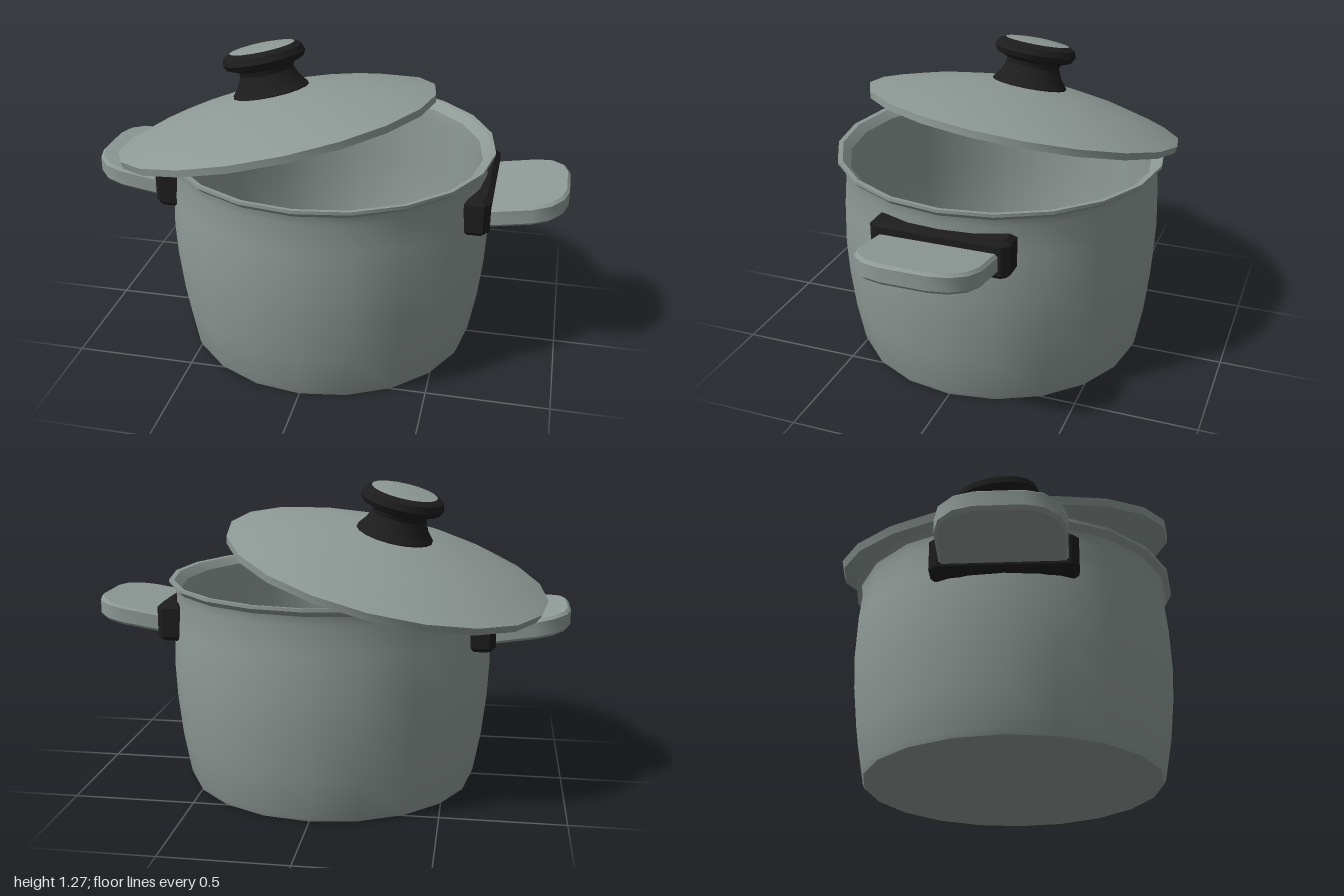
import * as THREE from 'three';
import { toCreasedNormals } from 'three/addons/utils/BufferGeometryUtils.js';

const SIDES = 20;
const steel = new THREE.MeshStandardMaterial({ color: 0x8f9a96 });
steel.name = 'brushed steel';
const black = new THREE.MeshStandardMaterial({ color: 0x1d1d1d });
black.name = 'black plastic';

function part(name, geometry, material, crease = 0.6) {
  const mesh = new THREE.Mesh(toCreasedNormals(geometry, crease), material);
  mesh.name = name;
  return mesh;
}

// Turned part from [radius, height] pairs, counterclockwise around the solid
function turned(name, profile, material, sides = SIDES) {
  const points = profile.map(([r, y]) => new THREE.Vector2(r, y));
  return part(name, new THREE.LatheGeometry(points, sides), material);
}

// Plan outline extruded upwards, resting on y with the given height and bevel
function slab(shape, y, height, bevel) {
  const g = new THREE.ExtrudeGeometry(shape, {
    depth: height - 2 * bevel, bevelEnabled: true, bevelSegments: 1,
    bevelSize: bevel, bevelThickness: bevel, bevelOffset: -bevel, curveSegments: 6,
  });
  g.rotateX(-Math.PI / 2);
  g.translate(0, y + bevel, 0);
  return g;
}

// Half outline mirrored over the x axis
function mirrored(half) {
  const other = half.filter(([, z]) => z !== 0).map(([x, z]) => [x, -z]).reverse();
  return [...half, ...other].map(([x, z]) => new THREE.Vector2(x, z));
}

function createHandle(name) {
  const group = new THREE.Group();
  group.name = name;

  // Mount hugging the curved wall
  const mount = new THREE.Shape(mirrored([
    [0.652, 0], [0.64, -0.13], [0.595, -0.25], [0.595, -0.285],
    [0.675, -0.285], [0.7, -0.255],
  ]));
  group.add(part('handleMount', slab(mount, 0.62, 0.16, 0.02), black));

  // Loop grip, rising towards its outer end
  const grip = new THREE.Shape(mirrored([
    [0.68, -0.245], [0.86, -0.245], [0.93, -0.222], [0.98, -0.165], [1, -0.09],
  ]));
  grip.holes.push(new THREE.Path(mirrored([
    [0.69, -0.2], [0.85, -0.2], [0.9, -0.185], [0.94, -0.14], [0.955, -0.08],
  ]).reverse()));
  const g = slab(grip, 0.65, 0.082, 0.012);
  const p = g.attributes.position;
  for (let i = 0; i < p.count; i++) p.setY(i, p.getY(i) + (p.getX(i) - 0.7) * 0.16);
  group.add(part('handleGrip', g, steel));
  return group;
}

function createLid() {
  const lid = new THREE.Group();
  lid.name = 'lid';
  // Thin domed shell
  lid.add(turned('lidShell', [
    [0, 0.11], [0.17, 0.1], [0.45, 0.045], [0.66, -0.02], [0.685, -0.025],
    [0.69, 0.005], [0.6, 0.036], [0.47, 0.072], [0.3, 0.106], [0.17, 0.125], [0, 0.135],
  ], steel));
  // Waisted knob with a steel cap
  lid.add(turned('knob', [
    [0, 0.1], [0.165, 0.1], [0.163, 0.13], [0.135, 0.165], [0.115, 0.21], [0.12, 0.23],
    [0.165, 0.248], [0.178, 0.27], [0.168, 0.297], [0.14, 0.312], [0, 0.312],
  ], black, 18));
  lid.add(turned('knobCap', [[0.14, 0.312], [0.1, 0.318], [0, 0.321]], steel, 18));
  // Resting askew on the rim
  lid.position.set(-0.24, 0.935, -0.02);
  lid.quaternion.setFromUnitVectors(
    new THREE.Vector3(0, 1, 0), new THREE.Vector3(-0.23, 1, -0.11).normalize());
  return lid;
}

export function createModel() {
  const model = new THREE.Group();
  model.name = 'cookingPot';

  // Bulging body with a flared rim and hollow inside
  model.add(turned('potBody', [
    [0, 0], [0.613, 0], [0.621, 0.02], [0.652, 0.19], [0.671, 0.36], [0.678, 0.5],
    [0.672, 0.68], [0.661, 0.8], [0.668, 0.835], [0.692, 0.857], [0.692, 0.87],
    [0.672, 0.868], [0.64, 0.835], [0.636, 0.78], [0.65, 0.5], [0.625, 0.19], [0.59, 0.03], [0, 0.03],
  ], steel));

  const left = createHandle('leftHandle');
  const right = createHandle('rightHandle');
  right.rotation.y = Math.PI;
  model.add(left, right, createLid());
  return model;
}
